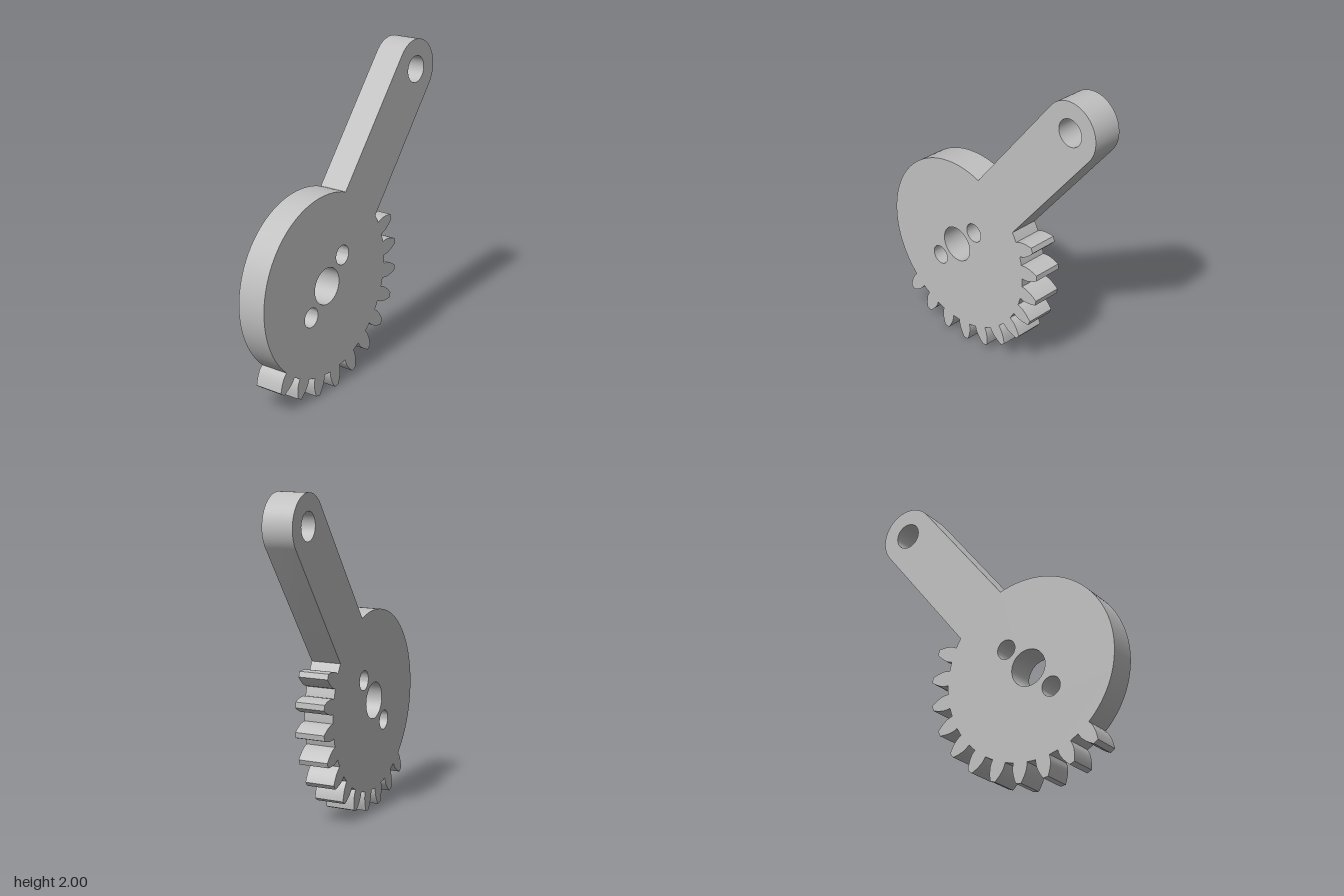
import * as THREE from 'three';
import { toCreasedNormals } from 'three/addons/utils/BufferGeometryUtils.js';

const DEG = Math.PI / 180;
const ARM_ANGLE = 51.65 * DEG;   // direction of the lever arm
const ARM_LENGTH = 1.441;        // disc centre to arm pivot
const ARM_HALF = 0.185;          // half width and end radius of the arm
const RIM = 0.566;               // disc rim and tooth root radius
const PITCH = 0.63;              // pitch radius of the teeth
const TIP = 0.686;
const TEETH = 24;                // teeth on a full circle
const CUT_TEETH = 11;            // teeth actually present
const THICKNESS = 0.187;

const polar = (r, a) => new THREE.Vector2(r * Math.cos(a), r * Math.sin(a));

function arc(centre, r, from, to, steps) {
  return Array.from({ length: steps + 1 }, (_, i) =>
    polar(r, from + (to - from) * i / steps).add(centre));
}

// Half the angle a tooth covers at radius r (involute, 20 degree pressure angle)
function toothHalfAngle(r) {
  const base = PITCH * Math.cos(20 * DEG);
  const involute = (a) => Math.tan(a) - a;
  const a = Math.acos(Math.min(1, base / r));
  return Math.PI / (2 * TEETH) + involute(20 * DEG) - involute(a);
}

function leverShape() {
  const origin = new THREE.Vector2();
  const pivot = polar(ARM_LENGTH, ARM_ANGLE);
  const armSpread = Math.asin(ARM_HALF / RIM);
  const pitchAngle = 2 * Math.PI / TEETH;
  const rootHalf = toothHalfAngle(RIM);
  const radii = [0.592, 0.606, 0.622, 0.638, 0.655, 0.671, TIP];

  // Rounded arm end, then the plain part of the rim
  const points = arc(pivot, ARM_HALF, ARM_ANGLE - Math.PI / 2, ARM_ANGLE + Math.PI / 2, 32);
  const firstTooth = ARM_ANGLE + Math.PI;
  points.push(...arc(origin, RIM, ARM_ANGLE + armSpread, firstTooth - rootHalf, 48));

  // Teeth with the root arcs between them
  for (let i = 0; i < CUT_TEETH; i++) {
    const a = firstTooth + i * pitchAngle;
    for (const r of radii) points.push(polar(r, a - toothHalfAngle(r)));
    for (const r of [...radii].reverse()) points.push(polar(r, a + toothHalfAngle(r)));
    const next = i < CUT_TEETH - 1
      ? a + pitchAngle - rootHalf
      : ARM_ANGLE + 2 * Math.PI - armSpread;
    points.push(...arc(origin, RIM, a + rootHalf, next, 4));
  }

  // Shaft hole, two bolt holes and the arm pivot hole
  const shape = new THREE.Shape(points);
  const holes = [
    [origin, 0.114],
    [polar(0.212, 45 * DEG), 0.061],
    [polar(0.212, 225 * DEG), 0.061],
    [pivot, 0.083],
  ];
  for (const [centre, r] of holes) {
    shape.holes.push(new THREE.Path(arc(centre, r, 0, -2 * Math.PI, 40).slice(0, -1)));
  }
  return shape;
}

export function createModel() {
  const metal = new THREE.MeshStandardMaterial({ color: 0xc0c0c0 });
  metal.name = 'greyMetal';

  const extruded = new THREE.ExtrudeGeometry(leverShape(), { depth: THICKNESS, bevelEnabled: false });
  extruded.translate(0, 0, -THICKNESS / 2);
  const lever = new THREE.Mesh(toCreasedNormals(extruded, 25 * DEG), metal);
  lever.name = 'toothedLever';

  // Stand the plate on edge, slightly turned and leaning
  lever.rotation.set(0, 94.4 * DEG, 0.013, 'ZYX');
  lever.position.set(0.0275, 0.686, 0.258);

  const model = new THREE.Group();
  model.name = 'gearLever';
  model.add(lever);
  return model;
}
